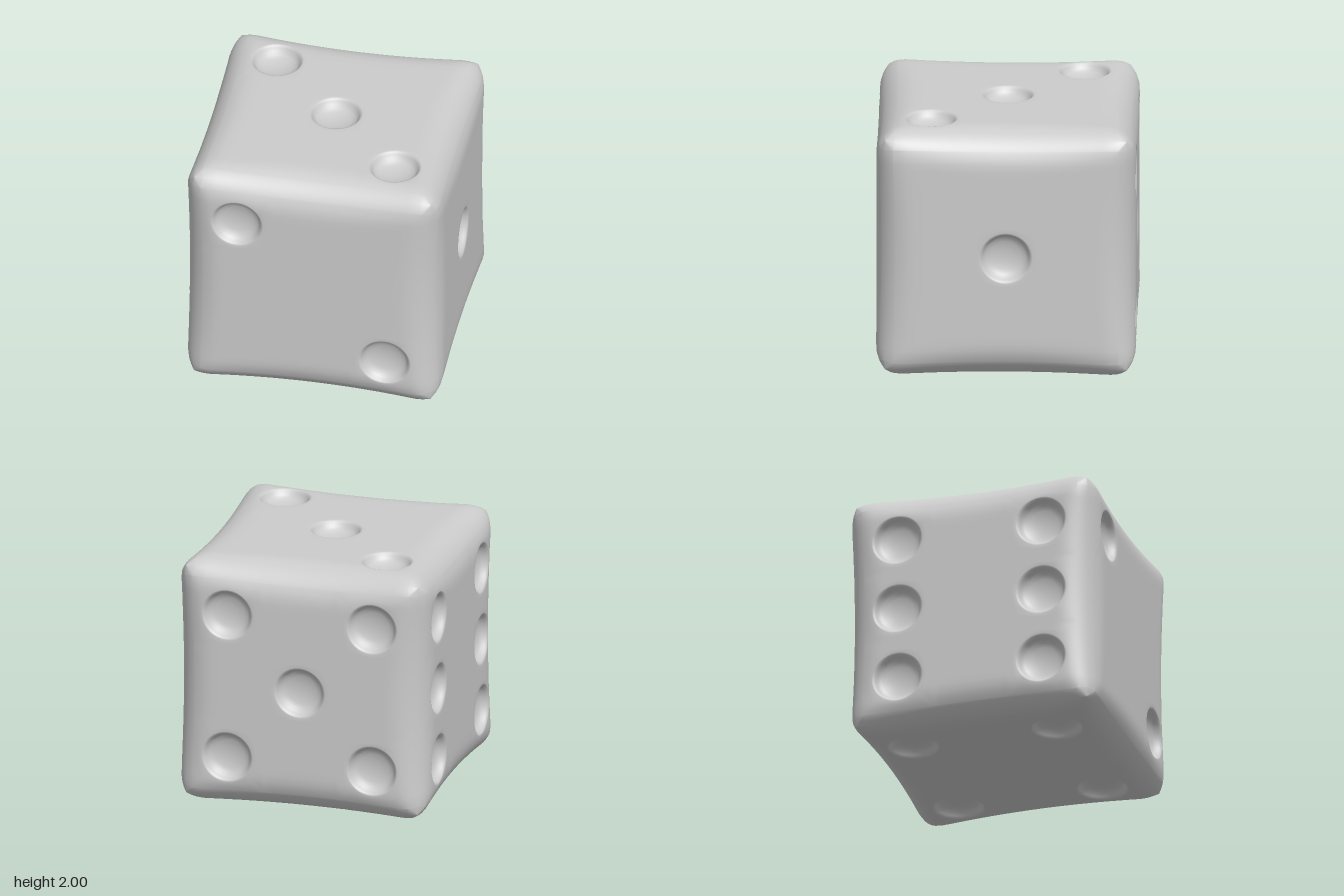
import * as THREE from 'three';
import { mergeVertices } from 'three/addons/utils/BufferGeometryUtils.js';

const PITCH = 0.58;
const BREAKS = [-1, -0.87, -0.29, 0.29, 0.87, 1];
const SEG = 10;
// pit profile from rim to centre: [radius, depth]
const PIT = [[0.207, 0], [0.194, 0.005], [0.182, 0.022], [0.17, 0.045], [0.15, 0.064],
  [0.115, 0.08], [0.06, 0.09], [0, 0.093]];

// each side: outward normal, horizontal axis, pip positions in steps of PITCH
const SIDES = [
  { n: [0, 0, 1], u: [1, 0, 0], pips: [[-1, 1], [1, -1]] },
  { n: [1, 0, 0], u: [0, 0, -1], pips: [[0, 0]] },
  { n: [0, 1, 0], u: [1, 0, 0], pips: [[-1, 1], [0, 0], [1, -1]] },
  { n: [0, 0, -1], u: [-1, 0, 0], pips: [[-1, -1], [-1, 1], [0, 0], [1, -1], [1, 1]] },
  { n: [-1, 0, 0], u: [0, 0, 1], pips: [[-1, -1], [-1, 0], [-1, 1], [1, -1], [1, 0], [1, 1]] },
  { n: [0, -1, 0], u: [1, 0, 0], pips: [[-1, -1], [-1, 1], [1, -1], [1, 1]] },
];

// rounds a point of the cube's surface; edges are softer at their middle than at the corners
function roundPoint(p) {
  const least = Math.min(Math.abs(p.x), Math.abs(p.y), Math.abs(p.z));
  const r = 0.17 + 0.13 * (1 - least * least);
  const core = p.clone().clampScalar(r - 1, 1 - r);
  return p.clone().sub(core).setLength(r).add(core);
}

// adds a lattice of points as quads, counter-clockwise when a runs right and b runs up
function addPatch(positions, na, nb, pointAt) {
  for (let a = 0; a < na; a++) {
    for (let b = 0; b < nb; b++) {
      const p = pointAt(a, b), q = pointAt(a + 1, b), s = pointAt(a + 1, b + 1), t = pointAt(a, b + 1);
      for (const tri of [[p, q, s], [p, s, t]]) {
        if (tri[1].distanceTo(tri[2]) < 1e-6) continue; // collapsed at a pit centre
        for (const c of tri) positions.push(c.x, c.y, c.z);
      }
    }
  }
}

// point k of the outline of a square cell, counter-clockwise from its lower left corner
function outline(k, half) {
  const side = Math.floor(k / SEG) % 4;
  const t = (k % SEG) / SEG * 2 * half - half;
  return [[t, -half], [half, t], [-t, half], [-half, -t]][side];
}

function addSide(positions, { n, u, pips }) {
  const N = new THREE.Vector3(...n), U = new THREE.Vector3(...u);
  const V = N.clone().cross(U);
  const place = (x, y, depth = 0) => roundPoint(
    N.clone().addScaledVector(U, x).addScaledVector(V, y)).addScaledVector(N, -depth);

  for (let i = 0; i < 5; i++) {
    for (let j = 0; j < 5; j++) {
      const x0 = BREAKS[i], x1 = BREAKS[i + 1], y0 = BREAKS[j], y1 = BREAKS[j + 1];
      if (!pips.some(([a, b]) => a === i - 2 && b === j - 2)) {
        // plain cell
        addPatch(positions, SEG, SEG, (a, b) =>
          place(x0 + (x1 - x0) * a / SEG, y0 + (y1 - y0) * b / SEG));
        continue;
      }
      // cell with a pit: square outline blends to a circle, then follows the pit profile
      const cx = (i - 2) * PITCH, cy = (j - 2) * PITCH, blend = 3;
      addPatch(positions, 4 * SEG, blend + PIT.length - 1, (k, ring) => {
        const [sx, sy] = outline(k, PITCH / 2);
        const angle = Math.atan2(sy, sx);
        const [radius, depth] = PIT[Math.max(0, ring - blend)];
        const w = Math.min(1, ring / blend);
        return place(
          cx + sx * (1 - w) + Math.cos(angle) * radius * w,
          cy + sy * (1 - w) + Math.sin(angle) * radius * w, depth);
      });
    }
  }
}

export function createModel() {
  const positions = [];
  for (const side of SIDES) addSide(positions, side);

  let geometry = new THREE.BufferGeometry();
  geometry.setAttribute('position', new THREE.Float32BufferAttribute(positions, 3));
  geometry = mergeVertices(geometry, 1e-4);
  geometry.translate(0, 1, 0);
  geometry.computeVertexNormals();

  const die = new THREE.Mesh(geometry, new THREE.MeshStandardMaterial({ color: 0xcccccc }));
  die.name = 'dieBody';
  const group = new THREE.Group();
  group.name = 'die';
  group.add(die);
  return group;
}
